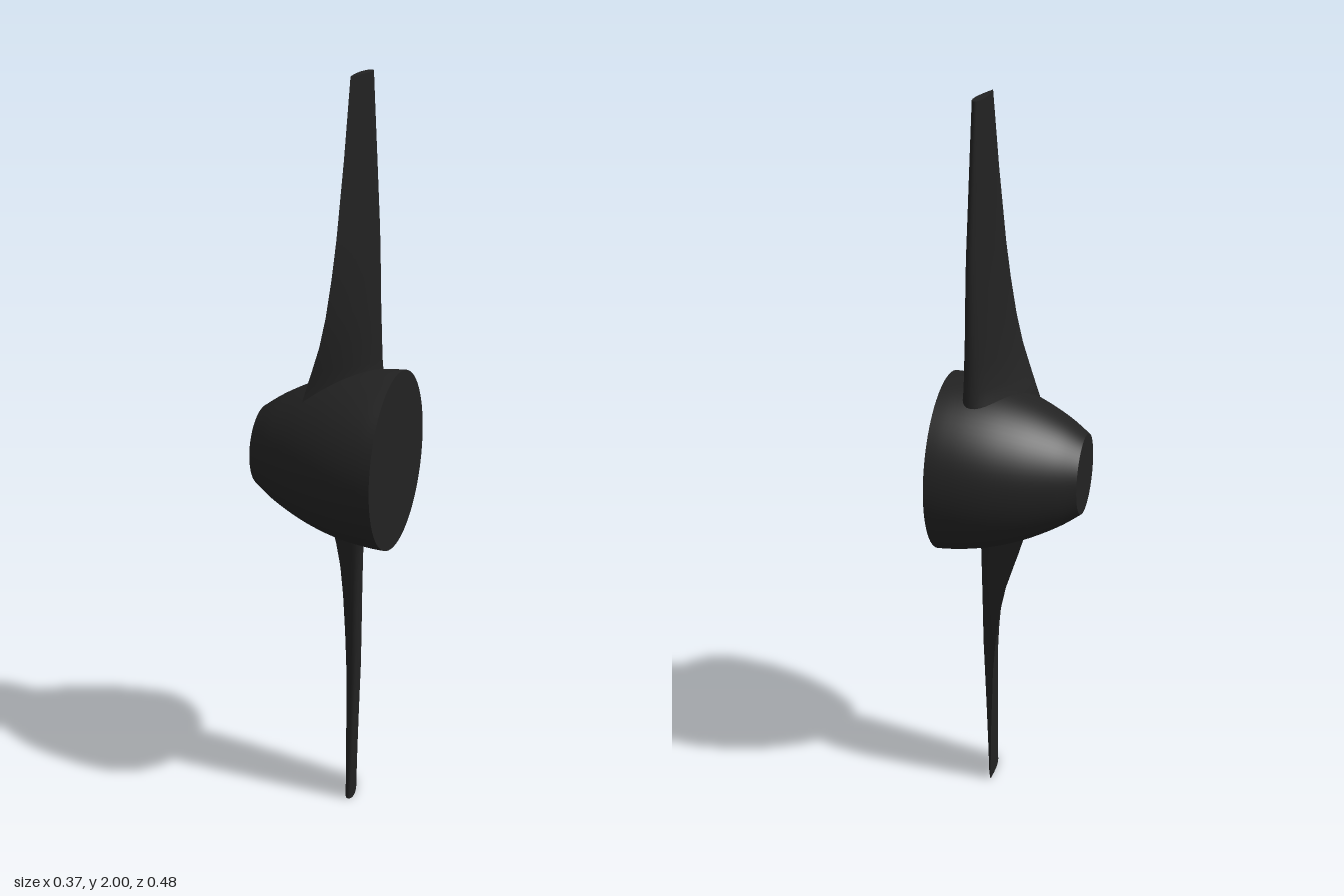
import * as THREE from 'three';

// Blade stations: y above hub axis, leading edge x z, trailing edge x z, thickness
const STATIONS = [
  [0.10, 0.118, -0.108, -0.050, 0.098, 0.110],
  [0.17, 0.116, -0.106, -0.042, 0.094, 0.086],
  [0.21, 0.112, -0.102, -0.030, 0.092, 0.070],
  [0.25, 0.110, -0.098, -0.017, 0.093, 0.061],
  [0.32, 0.107, -0.097, 0.005, 0.095, 0.055],
  [0.40, 0.104, -0.096, 0.022, 0.094, 0.050],
  [0.50, 0.102, -0.095, 0.036, 0.089, 0.045],
  [0.60, 0.100, -0.093, 0.046, 0.081, 0.040],
  [0.80, 0.092, -0.088, 0.058, 0.059, 0.032],
  [1.00, 0.084, -0.082, 0.067, 0.038, 0.025],
];
const STEPS = 36;

// Airfoil half thickness: round at the leading edge, sharp at the trailing edge
const foil = s => 5 * (0.2969 * Math.sqrt(s) - 0.126 * s - 0.3516 * s ** 2 + 0.2843 * s ** 3 - 0.1036 * s ** 4);

function section([y, lx, lz, tx, tz, thick]) {
  const cx = lx - tx, cz = lz - tz, len = Math.hypot(cx, cz);
  const pts = [];
  for (let i = 0; i <= STEPS; i++) {
    const a = (i / STEPS) * Math.PI * 2;
    const u = (1 - Math.cos(a)) / 2;
    const h = i % STEPS ? Math.sign(Math.sin(a)) * thick * foil(1 - u) : 0;
    pts.push(tx + cx * u - (cz / len) * h, y, tz + cz * u + (cx / len) * h);
  }
  return pts;
}

function gridGeometry(positions, index) {
  const g = new THREE.BufferGeometry();
  g.setAttribute('position', new THREE.Float32BufferAttribute(positions, 3));
  g.setIndex(index);
  g.computeVertexNormals();
  return g;
}

function bladeGeometry() {
  const index = [], n = STEPS + 1;
  for (let r = 0; r < STATIONS.length - 1; r++) {
    for (let i = 0; i < STEPS; i++) {
      const a = r * n + i, b = a + 1;
      index.push(a, b, b + n, a, b + n, a + n);
    }
  }
  return gridGeometry(STATIONS.flatMap(section), index);
}

// Flat end of the blade
function tipGeometry() {
  const index = [];
  for (let i = 1; i < STEPS - 1; i++) index.push(0, i, i + 1);
  return gridGeometry(section(STATIONS[STATIONS.length - 1]), index);
}

export function createModel() {
  const model = new THREE.Group();
  model.name = 'propeller';
  const black = new THREE.MeshStandardMaterial({ color: 0x222222 });
  black.name = 'matte black';

  const add = (parent, geometry, name) => {
    const mesh = new THREE.Mesh(geometry, black);
    mesh.name = name;
    parent.add(mesh);
    return mesh;
  };

  // Spinner turned about the x axis
  const profile = new THREE.SplineCurve([
    [0.108, -0.187], [0.140, -0.142], [0.165, -0.098], [0.189, -0.048], [0.208, 0.002],
    [0.222, 0.050], [0.232, 0.100], [0.238, 0.150], [0.240, 0.187],
  ].map(p => new THREE.Vector2(...p)));
  const hub = new THREE.Group();
  hub.name = 'hub';
  hub.position.y = 1;
  add(hub, new THREE.LatheGeometry(profile.getPoints(32), 72).rotateZ(-Math.PI / 2), 'spinnerShell');
  add(hub, new THREE.CircleGeometry(0.108, 72).rotateY(-Math.PI / 2), 'noseDisc').position.x = -0.187;
  add(hub, new THREE.CircleGeometry(0.24, 72).rotateY(Math.PI / 2), 'backPlate').position.x = 0.187;
  model.add(hub);

  // Two twisted blades, half a turn apart
  const blade = bladeGeometry(), tip = tipGeometry();
  ['upperBlade', 'lowerBlade'].forEach((name, k) => {
    const group = new THREE.Group();
    group.name = name;
    group.position.y = 1;
    group.rotation.x = k * Math.PI;
    add(group, blade, 'bladeSkin');
    add(group, tip, 'bladeTip');
    model.add(group);
  });
  return model;
}
